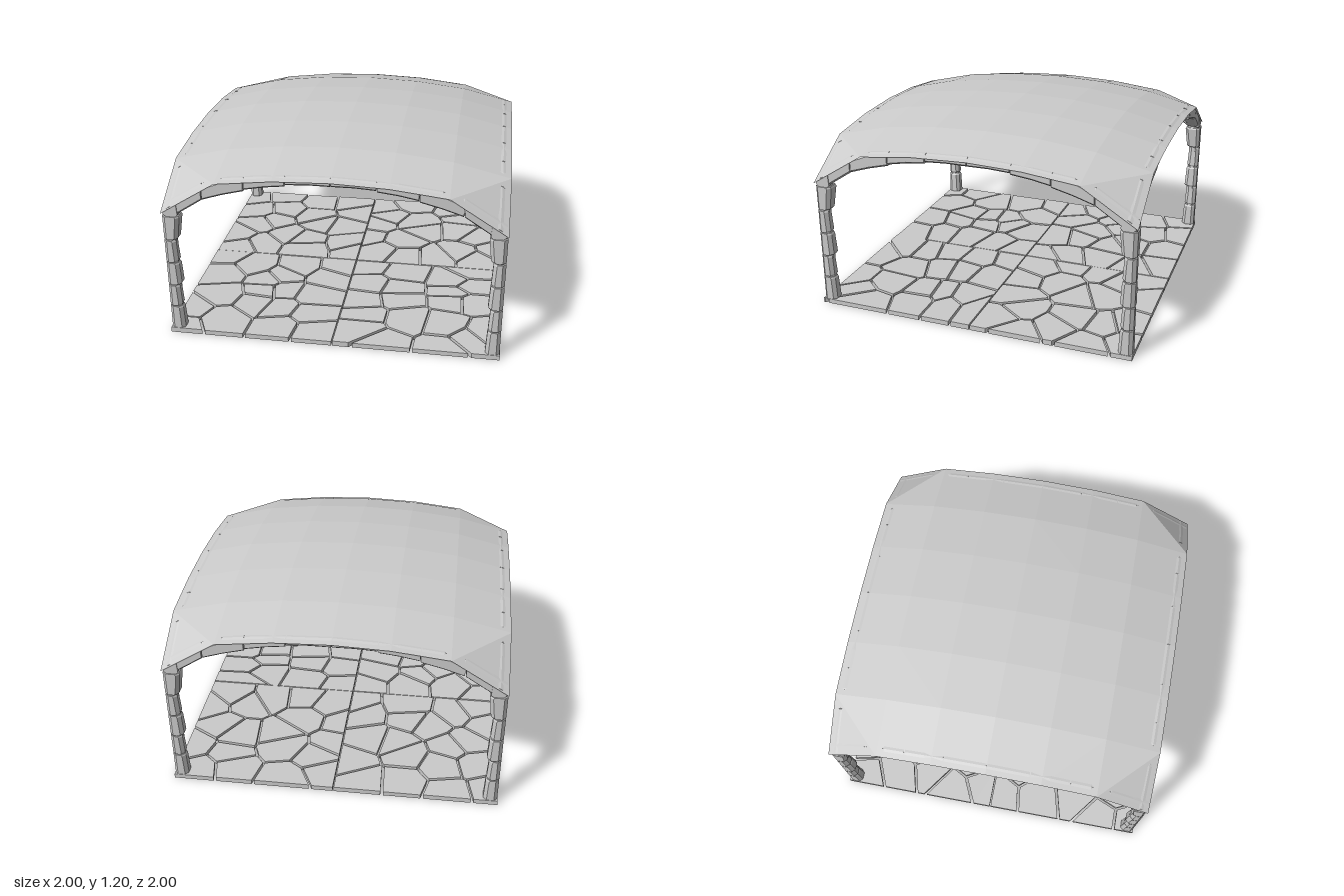
import * as THREE from 'three';

const stone = new THREE.MeshStandardMaterial({ color: 0xcccccc, flatShading: true });
const cloth = new THREE.MeshStandardMaterial({ color: 0xcccccc, flatShading: true, side: THREE.DoubleSide });

// Seeded random numbers
let seed = 7;
const rand = () => (seed = (seed * 16807) % 2147483647) / 2147483647;

// Piecewise linear lookup in [[x, y], ...]
function lerpTable(table, x) {
  for (let i = 1; i < table.length; i++) {
    const [x0, y0] = table[i - 1], [x1, y1] = table[i];
    if (x <= x1) return y0 + (y1 - y0) * (x - x0) / (x1 - x0);
  }
  return table[table.length - 1][1];
}

// Closed solid through rings of equal point count; winding is corrected by volume
function loft(rings) {
  const n = rings[0].length, pos = rings.flat(2), idx = [];
  for (let r = 0; r < rings.length - 1; r++) {
    for (let i = 0; i < n; i++) {
      const a = r * n + i, b = r * n + (i + 1) % n;
      idx.push(a, b, a + n, b, b + n, a + n);
    }
  }
  const last = (rings.length - 1) * n;
  for (let i = 1; i < n - 1; i++) idx.push(0, i + 1, i, last, last + i, last + i + 1);
  const v = (k) => new THREE.Vector3().fromArray(pos, idx[k] * 3);
  let volume = 0;
  for (let k = 0; k < idx.length; k += 3) volume += v(k).dot(v(k + 1).cross(v(k + 2)));
  if (volume < 0) idx.reverse();
  const geo = new THREE.BufferGeometry();
  geo.setAttribute('position', new THREE.Float32BufferAttribute(pos, 3));
  geo.setIndex(idx);
  geo.computeVertexNormals();
  return geo;
}

function add(parent, name, geo, mat = stone) {
  const mesh = new THREE.Mesh(geo, mat);
  mesh.name = name;
  parent.add(mesh);
  return mesh;
}

// Canopy height: a dome falling off in x and z, with a steep flap at each corner
const fall = [[0, 0], [1 / 3, 0.012], [2 / 3, 0.05], [1, 0.13]];
const CORNER = 0.81;
function canopyY(x, z) {
  x = Math.abs(x); z = Math.abs(z);
  const toCorner = 2 - x - z;
  if (toCorner <= 1 / 3) return CORNER + toCorner * 3 * (1.02 - CORNER);
  return 1.2 - lerpTable(fall, x) - lerpTable(fall, z);
}

function canopyGeometry() {
  const pos = [], idx = [];
  for (let j = -3; j <= 3; j++) {
    for (let i = -3; i <= 3; i++) pos.push(i / 3, canopyY(i / 3, j / 3), j / 3);
  }
  for (let j = 0; j < 6; j++) {
    for (let i = 0; i < 6; i++) {
      const a = j * 7 + i, b = a + 1, c = a + 7, d = a + 8;
      // diagonals run around the dome
      if ((i < 3) === (j < 3)) idx.push(a, c, b, b, c, d);
      else idx.push(a, c, d, a, d, b);
    }
  }
  const geo = new THREE.BufferGeometry();
  geo.setAttribute('position', new THREE.Float32BufferAttribute(pos, 3));
  geo.setIndex(idx);
  geo.computeVertexNormals();
  return geo;
}

// Chamfered square section of a corner post
function postRing(y, inner, outer = 0.997, c = 0.02) {
  const a = inner, b = outer;
  return [[a + c, a], [b - c, a], [b, a + c], [b, b - c], [b - c, b], [a + c, b], [a, b - c], [a, a + c]]
    .map(([x, z]) => [x, y, z]);
}

function buildPost() {
  const post = new THREE.Group();
  const joints = [0.02, 0.185, 0.33, 0.485, 0.635];
  for (let i = 0; i < 4; i++) {
    const lo = joints[i] + 0.004, hi = joints[i + 1] - 0.004;
    const inner = i % 2 ? 0.92 : 0.912;
    add(post, 'postBlock', loft([
      postRing(lo, inner + 0.006), postRing(lo + 0.01, inner),
      postRing(hi - 0.01, inner + 0.006), postRing(hi, inner + 0.012),
    ]));
  }
  // narrow core seen in the joints
  add(post, 'postCore', loft([postRing(0.02, 0.925, 0.99), postRing(0.7, 0.925, 0.99)]));
  // capital flaring inwards, and the springer under the canopy corner
  add(post, 'capital', loft([postRing(0.64, 0.918), postRing(0.65, 0.91), postRing(0.78, 0.895), postRing(0.79, 0.9)]));
  add(post, 'springer', loft([postRing(0.785, 0.905, 0.99), postRing(0.82, 0.915, 0.975)]));
  return post;
}

// Underside of the arch
const soffit = [[0, 1.045], [0.26, 1.03], [0.5, 0.985], [0.75, 0.905], [0.91, 0.8], [0.99, 0.79]];

function buildArch() {
  const arch = new THREE.Group();
  const breaks = [0, 0.26, 0.5, 0.75, 0.99];
  for (const side of [-1, 1]) {
    for (let i = 0; i < 4; i++) {
      const x0 = breaks[i] + 0.003, x1 = breaks[i + 1] - (i < 3 ? 0.003 : 0);
      const mid = i === 3 ? 0.91 : (x0 + x1) / 2;
      const rings = [x0, mid, x1].map((x, k) => {
        const low = lerpTable(soffit, x) - (k === 0 && i < 3 ? 0.008 : 0);
        const top = (z) => canopyY(x, z);
        return [
          [0.985, low + 0.012], [0.985, top(0.985) - 0.004], [0.95, top(0.95) + 0.003],
          [0.905, top(0.905) - 0.006], [0.9, low + 0.012], [0.915, low], [0.97, low],
        ].map(([z, y]) => [side * x, y, z]);
      });
      add(arch, 'archStone', loft(rings));
    }
  }
  return arch;
}

// Keep the part of a polygon where p.n <= d
function clip(poly, nx, nz, d) {
  const out = [];
  poly.forEach((p, i) => {
    const q = poly[(i + 1) % poly.length];
    const dp = p[0] * nx + p[1] * nz - d, dq = q[0] * nx + q[1] * nz - d;
    if (dp <= 0) out.push(p);
    if (dp * dq < 0) {
      const t = dp / (dp - dq);
      out.push([p[0] + t * (q[0] - p[0]), p[1] + t * (q[1] - p[1])]);
    }
  });
  return out;
}

// One quarter of the paving: irregular stones with narrow open joints
function buildPaving(sx, sz) {
  const paving = new THREE.Group(), gap = 0.008, cols = 4, rows = 5, sites = [];
  for (let i = 0; i < cols; i++) {
    for (let j = 0; j < rows; j++) {
      sites.push([sx * (i + 0.1 + 0.8 * rand()) / cols, sz * (j + 0.1 + 0.8 * rand()) / rows]);
    }
  }
  for (const s of sites) {
    const g = gap / 2;
    let poly = [[g, g], [1, g], [1, 1], [g, 1]].map(([x, z]) => [x * sx, z * sz]);
    for (const o of sites) {
      if (o === s) continue;
      const dx = o[0] - s[0], dz = o[1] - s[1], len = Math.hypot(dx, dz);
      const nx = dx / len, nz = dz / len;
      poly = clip(poly, nx, nz, s[0] * nx + s[1] * nz + len / 2 - gap);
    }
    if (poly.length < 3) continue;
    const top = 0.028 + 0.005 * rand();
    add(paving, 'pavingStone', loft([0, top].map((y) => poly.map(([x, z]) => [x, y, z]))));
  }
  return paving;
}

export function createModel() {
  const model = new THREE.Group();
  model.name = 'pavilion';
  add(model, 'canopy', canopyGeometry(), cloth);
  for (let k = 0; k < 4; k++) {
    for (const [name, part] of [['cornerPost', buildPost()], ['arch', buildArch()]]) {
      part.name = name;
      part.rotation.y = k * Math.PI / 2;
      model.add(part);
    }
  }
  for (const sx of [-1, 1]) {
    for (const sz of [-1, 1]) {
      const paving = buildPaving(sx, sz);
      paving.name = 'paving';
      model.add(paving);
    }
  }
  return model;
}
